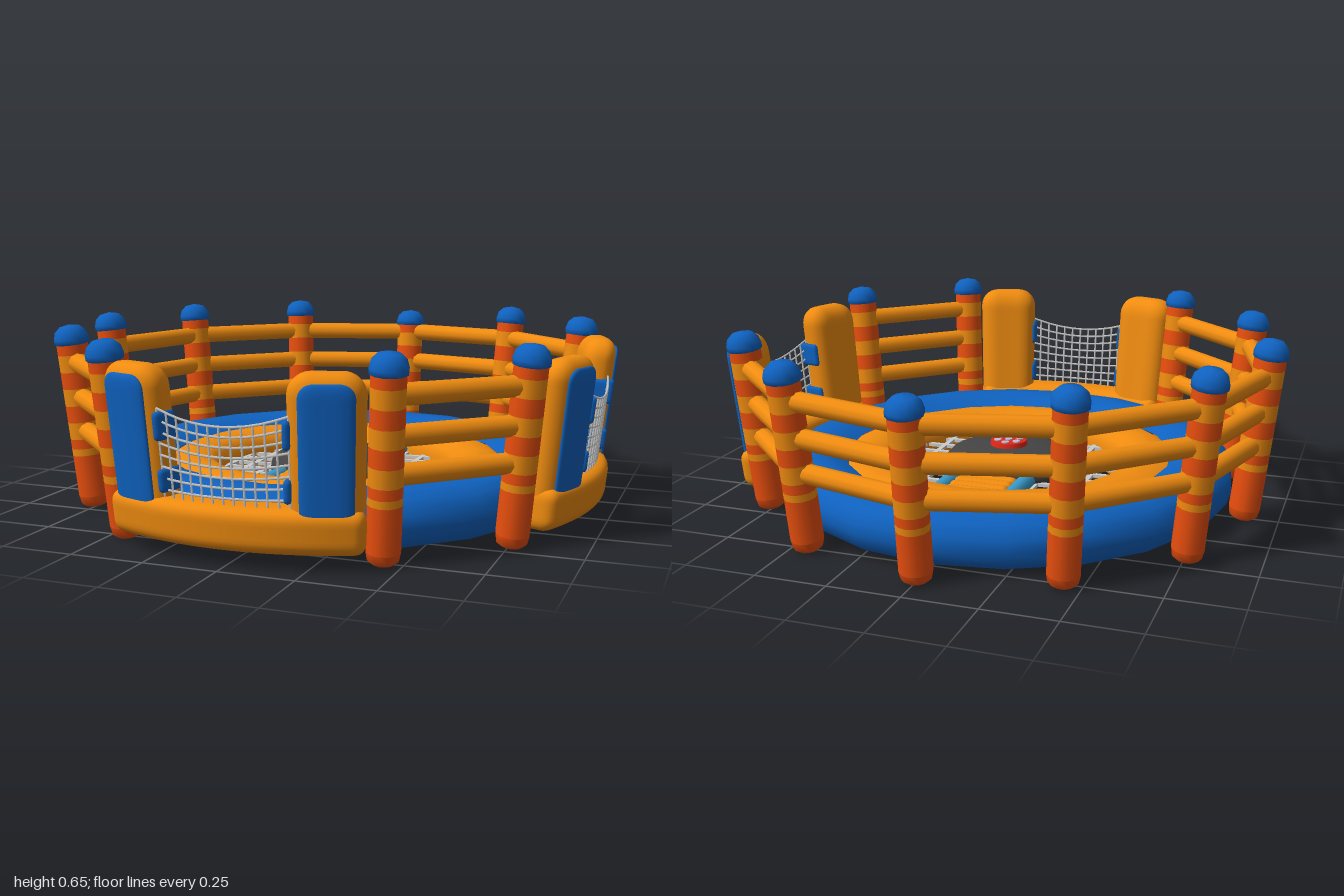
import * as THREE from 'three';
import { mergeGeometries, mergeVertices } from 'three/addons/utils/BufferGeometryUtils.js';

const mat = (color, side = THREE.FrontSide) => new THREE.MeshStandardMaterial({ color, side });
const ORANGE = mat(0xf08c10), RED = mat(0xea4f0e), BLUE = mat(0x0f62c0), SKY = mat(0x3a9bcc);
const DARK = mat(0x444444), NET = mat(0xcccccc), TARGET = mat(0xe02818), SPOT = mat(0xc8b8d8);
const LEAN = 0.11;
const STEP = Math.PI / 6;

function add(parent, name, geometry, material) {
  const mesh = new THREE.Mesh(geometry, material);
  mesh.name = name;
  parent.add(mesh);
  return mesh;
}

const lathe = (points, sides) =>
  new THREE.LatheGeometry(points.map(([r, y]) => new THREE.Vector2(r, y)), sides);

// Maps arc length, height and depth onto the outward-leaning round wall
function bend(s, y, d) {
  const a = s / 0.95, r = 0.89 + d + LEAN * y;
  return new THREE.Vector3(Math.sin(a) * r, y, Math.cos(a) * r);
}

// Inflated cushion with elliptical edges, bent around the wall
function cushion(s, y, d, size, round) {
  let g = new THREE.BoxGeometry(...size, Math.ceil(size[0] / 0.014), Math.ceil(size[1] / 0.014), 8);
  g.deleteAttribute('uv');
  g.deleteAttribute('normal');
  g = mergeVertices(g);
  const p = g.attributes.position, v = new THREE.Vector3(), inner = new THREE.Vector3();
  const radius = new THREE.Vector3(...round);
  const limit = new THREE.Vector3(...size).multiplyScalar(0.5).sub(radius);
  for (let i = 0; i < p.count; i++) {
    v.fromBufferAttribute(p, i);
    inner.copy(v).clamp(limit.clone().negate(), limit);
    v.sub(inner).divide(radius).normalize().multiply(radius).add(inner);
    const b = bend(v.x + s, v.y + y, v.z + d);
    p.setXYZ(i, b.x, b.y, b.z);
  }
  g.computeVertexNormals();
  return g;
}

function strand(points, radius) {
  return new THREE.TubeGeometry(new THREE.CatmullRomCurve3(points), 10, radius, 4);
}

// Sagging net between the two wings of a gate
function gateNet() {
  const parts = [], half = 0.21, rows = 9, cols = 13;
  const height = (s, t) => 0.18 + t * (0.25 + 0.04 * (s / half) ** 2);
  const ramp = n => Array.from({ length: n }, (_, i) => i / (n - 1));
  for (const t of ramp(rows))
    parts.push(strand(ramp(7).map(u => { const s = (2 * u - 1) * half; return bend(s, height(s, t), 0.035); }), 0.004));
  for (const u of ramp(cols)) {
    const s = (2 * u - 1) * half;
    parts.push(strand(ramp(3).map(t => bend(s, height(s, t), 0.035)), 0.004));
  }
  return mergeGeometries(parts);
}

function makeGate() {
  const gate = new THREE.Group();
  gate.name = 'gate';
  add(gate, 'gateSill', cushion(0, 0.12, 0.003, [0.87, 0.145, 0.15], [0.035, 0.04, 0.05]), ORANGE);
  for (const side of [-1, 1]) {
    add(gate, 'gateWing', cushion(side * 0.317, 0.325, 0, [0.232, 0.55, 0.12], [0.07, 0.07, 0.05]), ORANGE);
    add(gate, 'gateWingPanel', cushion(side * 0.317, 0.34, 0.056, [0.16, 0.46, 0.026], [0.045, 0.045, 0.012]), BLUE);
    for (const [y, h] of [[0.415, 0.09], [0.245, 0.075]])
      add(gate, 'netStrap', cushion(side * 0.203, y, 0.015, [0.022, h, 0.09], [0.008, 0.012, 0.012]), BLUE);
  }
  add(gate, 'gateNet', gateNet(), NET);
  return gate;
}

// Leaning striped post with a domed cap
function makePost() {
  const post = new THREE.Group();
  post.name = 'post';
  const cuts = [0.04, 0.19, 0.215, 0.25, 0.31, 0.37, 0.43, 0.49, 0.55, 0.59];
  add(post, 'postFoot', lathe([[0, 0], [0.035, 0], [0.05, 0.012], [0.055, 0.04]], 12), RED);
  for (let i = 0; i + 1 < cuts.length; i++) {
    const h = cuts[i + 1] - cuts[i];
    const band = add(post, 'postBand', new THREE.CylinderGeometry(0.055, 0.055, h, 12, 1, true), i % 2 ? ORANGE : RED);
    band.position.y = cuts[i] + h / 2;
  }
  add(post, 'postCap', lathe([[0.05, 0.583], [0.06, 0.588], [0.061, 0.605], [0.054, 0.63], [0.035, 0.648], [0, 0.655]], 12), BLUE);
  post.position.set(0, 0.005, 0.875);
  post.rotation.x = LEAN;
  return post;
}

// Straight tube with rounded ends between two points
function bar(parent, name, a, b, radius, material) {
  const mesh = add(parent, name, new THREE.CapsuleGeometry(radius, a.distanceTo(b) - radius, 4, 10), material);
  mesh.position.copy(a).add(b).multiplyScalar(0.5);
  mesh.quaternion.setFromUnitVectors(new THREE.Vector3(0, 1, 0), b.clone().sub(a).normalize());
}

export function createModel() {
  const model = new THREE.Group();
  model.name = 'inflatableArena';

  // Round floor: blue outer cushion, orange inner ring, flat underside
  add(model, 'outerCushion', lathe([[0.78, 0.02], [0.815, 0.045], [0.83, 0.09], [0.828, 0.13],
    [0.805, 0.175], [0.76, 0.198], [0.7, 0.2], [0.65, 0.19], [0.6, 0.165]], 20), BLUE);
  add(model, 'innerRing', lathe([[0.605, 0.16], [0.57, 0.176], [0.52, 0.18], [0.47, 0.172],
    [0.435, 0.15], [0.42, 0.11], [0.42, 0.02]], 20), ORANGE);
  add(model, 'floorUnderside', lathe([[0.42, 0.02], [0.78, 0.02]], 20), BLUE);

  // Net across the centre hole
  const strands = [];
  for (let i = -5; i <= 5; i++) {
    const c = i * 0.08, half = Math.sqrt(0.43 ** 2 - c * c);
    strands.push(new THREE.BoxGeometry(0.018, 0.012, half * 2).translate(c, 0.1, 0));
    strands.push(new THREE.BoxGeometry(half * 2, 0.012, 0.018).translate(0, 0.1, c));
  }
  add(model, 'centreNet', mergeGeometries(strands), NET);

  // Twin beams and rungs carrying the hub
  for (const x of [-0.13, 0.13])
    bar(model, 'beam', new THREE.Vector3(x, 0.115, -0.41), new THREE.Vector3(x, 0.115, 0.41), 0.03, SKY);
  for (const side of [-1, 1])
    for (let i = 0; i < 5; i++) {
      const z = side * (0.23 + i * 0.045);
      bar(model, 'rung', new THREE.Vector3(-0.1, 0.115, z), new THREE.Vector3(0.1, 0.115, z), 0.025, ORANGE);
    }

  // Hub: tyre shape with a closed top and a round target
  add(model, 'hub', lathe([[0.11, 0.165], [0.11, 0.1], [0.135, 0.07], [0.18, 0.06], [0.22, 0.075], [0.24, 0.11],
    [0.235, 0.14], [0.21, 0.165], [0.16, 0.18], [0.08, 0.188], [0, 0.19]], 28), DARK);
  add(model, 'hubInside', lathe([[0, 0.165], [0.11, 0.165]], 28), DARK);
  add(model, 'target', new THREE.CylinderGeometry(0.066, 0.07, 0.02, 24), TARGET).position.y = 0.195;
  for (let i = 0; i < 7; i++) {
    const a = i * Math.PI / 3, r = i < 6 ? 0.042 : 0;
    add(model, 'targetSpot', new THREE.CylinderGeometry(0.014, 0.014, 0.006, 12), SPOT)
      .position.set(Math.sin(a) * r, 0.206, Math.cos(a) * r);
  }

  // Gates at the front and on the left, posts everywhere else
  const isGate = k => k % 12 === 0 || k === 3;
  const railPoint = (k, y) => {
    const r = 0.873 + LEAN * y;
    return new THREE.Vector3(Math.sin(k * STEP) * r, y, Math.cos(k * STEP) * r);
  };
  for (let k = 0; k < 12; k++) {
    const spoke = new THREE.Group();
    spoke.name = isGate(k) ? 'gateSection' : 'postSection';
    spoke.rotation.y = k * STEP;
    const part = isGate(k) ? makeGate() : makePost();
    if (k === 6) part.scale.y = 0.94;
    spoke.add(part);
    model.add(spoke);
    if (!isGate(k) && !isGate(k + 1))
      for (const y of [0.28, 0.4, 0.525])
        bar(model, 'rail', railPoint(k, y), railPoint(k + 1, y), 0.034, ORANGE);
  }
  return model;
}
